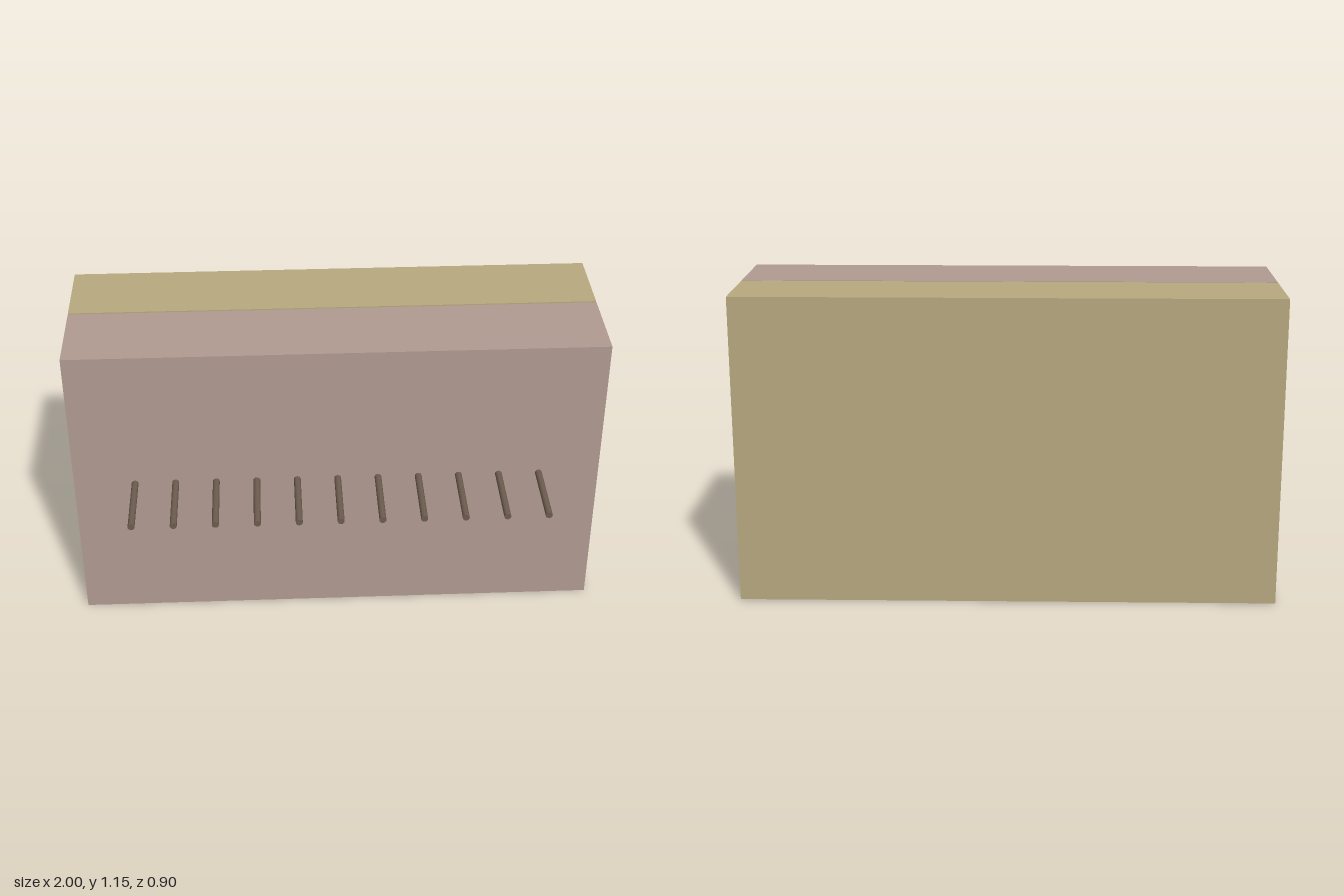
import * as THREE from 'three';

export function createModel() {
  const model = new THREE.Group();
  const mat = (name, color) => {
    const m = new THREE.MeshStandardMaterial({ color });
    m.name = name;
    return m;
  };
  const rose = mat('dustyRose', 0xb29b92);
  const sand = mat('sand', 0xb8aa80);
  const brown = mat('darkBrown', 0x6e5d50);

  // Two upright slabs separated by a narrow gap
  const height = 1.155;
  const slab = (name, zBack, zFront, material) => {
    const mesh = new THREE.Mesh(new THREE.BoxGeometry(2, height, zFront - zBack), material);
    mesh.name = name;
    mesh.position.set(0, height / 2, (zBack + zFront) / 2);
    model.add(mesh);
  };
  slab('frontSlab', -0.142, 0.181, rose);
  slab('backSlab', -0.452, -0.15, sand);

  // Row of round pegs standing out of the front slab
  const pegs = new THREE.Group();
  pegs.name = 'pegRow';
  const start = 0.175, end = 0.452;
  const pegGeometry = new THREE.CylinderGeometry(0.013, 0.013, end - start, 16).rotateX(Math.PI / 2);
  for (let i = -5; i <= 5; i++) {
    const peg = new THREE.Mesh(pegGeometry, brown);
    peg.name = 'peg';
    peg.position.set(i * 0.154, 0.598, (start + end) / 2);
    pegs.add(peg);
  }
  model.add(pegs);
  return model;
}
